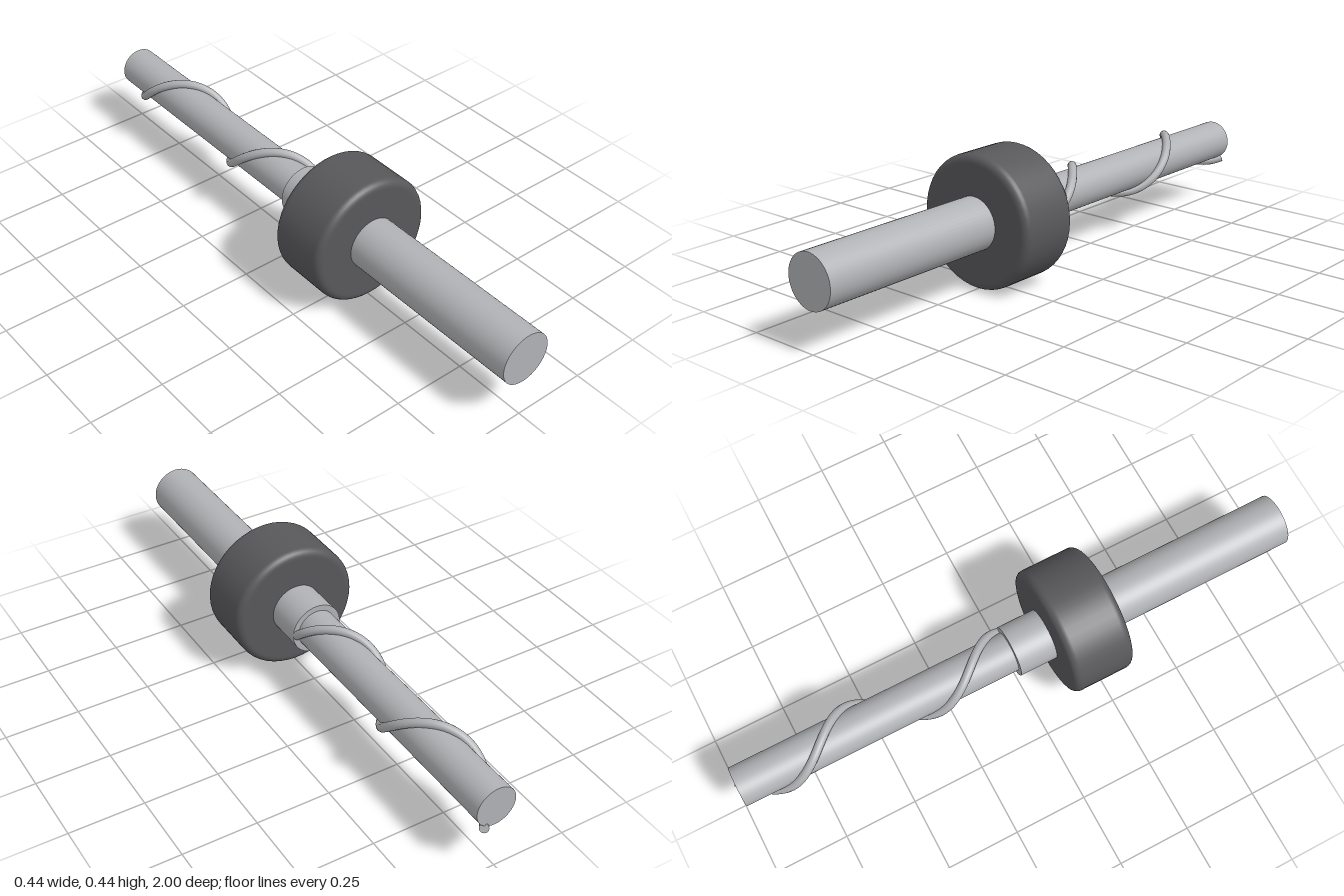
import * as THREE from 'three';

const AXIS_Y = 0.22;

export function createModel() {
  const steel = new THREE.MeshStandardMaterial({ color: 0xb1b2b5 });
  steel.name = 'steel grey';
  const rubber = new THREE.MeshStandardMaterial({ color: 0x58585b });
  rubber.name = 'dark grey';

  const model = new THREE.Group();
  model.name = 'drillBit';
  // everything is built around the z axis, then lifted to stand on the collar
  const bit = new THREE.Group();
  bit.name = 'bit';
  bit.position.y = AXIS_Y;
  model.add(bit);

  const add = (name, geometry, material) => {
    const mesh = new THREE.Mesh(geometry, material);
    mesh.name = name;
    bit.add(mesh);
    return mesh;
  };
  const rod = (name, radius, z0, z1) => {
    const g = new THREE.CylinderGeometry(radius, radius, z1 - z0, 48);
    g.rotateX(Math.PI / 2).translate(0, 0, (z0 + z1) / 2);
    return add(name, g, steel);
  };

  // thick shank and thinner working rod
  rod('shank', 0.088, -0.015, 1);
  rod('shaft', 0.068, -0.987, -0.01);

  // stop collar with rounded rims
  const outer = 0.22, half = 0.109, bevel = 0.025;
  const profile = [new THREE.Vector2(0.08, -half), new THREE.Vector2(outer - bevel - 0.004, -half)];
  for (const [cy, start] of [[-half + bevel, -Math.PI / 2], [half - bevel, 0]]) {
    for (let i = 0; i <= 6; i++) {
      const a = start + (i / 6) * Math.PI / 2;
      profile.push(new THREE.Vector2(outer - bevel + bevel * Math.cos(a), cy + bevel * Math.sin(a)));
    }
  }
  profile.push(new THREE.Vector2(outer - bevel - 0.004, half), new THREE.Vector2(0.08, half));
  const collar = new THREE.LatheGeometry(profile, 48);
  collar.rotateX(Math.PI / 2).translate(0, 0, 0.225);
  add('collar', collar, rubber);

  // raised spiral ridge wound round the shaft
  const zStart = -0.015, zEnd = -0.988, pitch = 0.53, wireRadius = 0.015;
  class Helix extends THREE.Curve {
    getPoint(t, target = new THREE.Vector3()) {
      const z = zStart + (zEnd - zStart) * t;
      const a = ((zStart - z) / pitch) * Math.PI * 2;
      return target.set(0.075 * Math.cos(a), 0.075 * Math.sin(a), z);
    }
  }
  const helix = new Helix();
  add('spiral', new THREE.TubeGeometry(helix, 120, wireRadius, 12, false), steel);

  // flat caps on both ends of the spiral
  for (const [t, sign] of [[0, -1], [1, 1]]) {
    const cap = add('spiralCap', new THREE.CircleGeometry(wireRadius, 12), steel);
    cap.position.copy(helix.getPoint(t));
    const out = helix.getTangent(t).multiplyScalar(sign);
    cap.quaternion.setFromUnitVectors(new THREE.Vector3(0, 0, 1), out);
  }

  return model;
}
